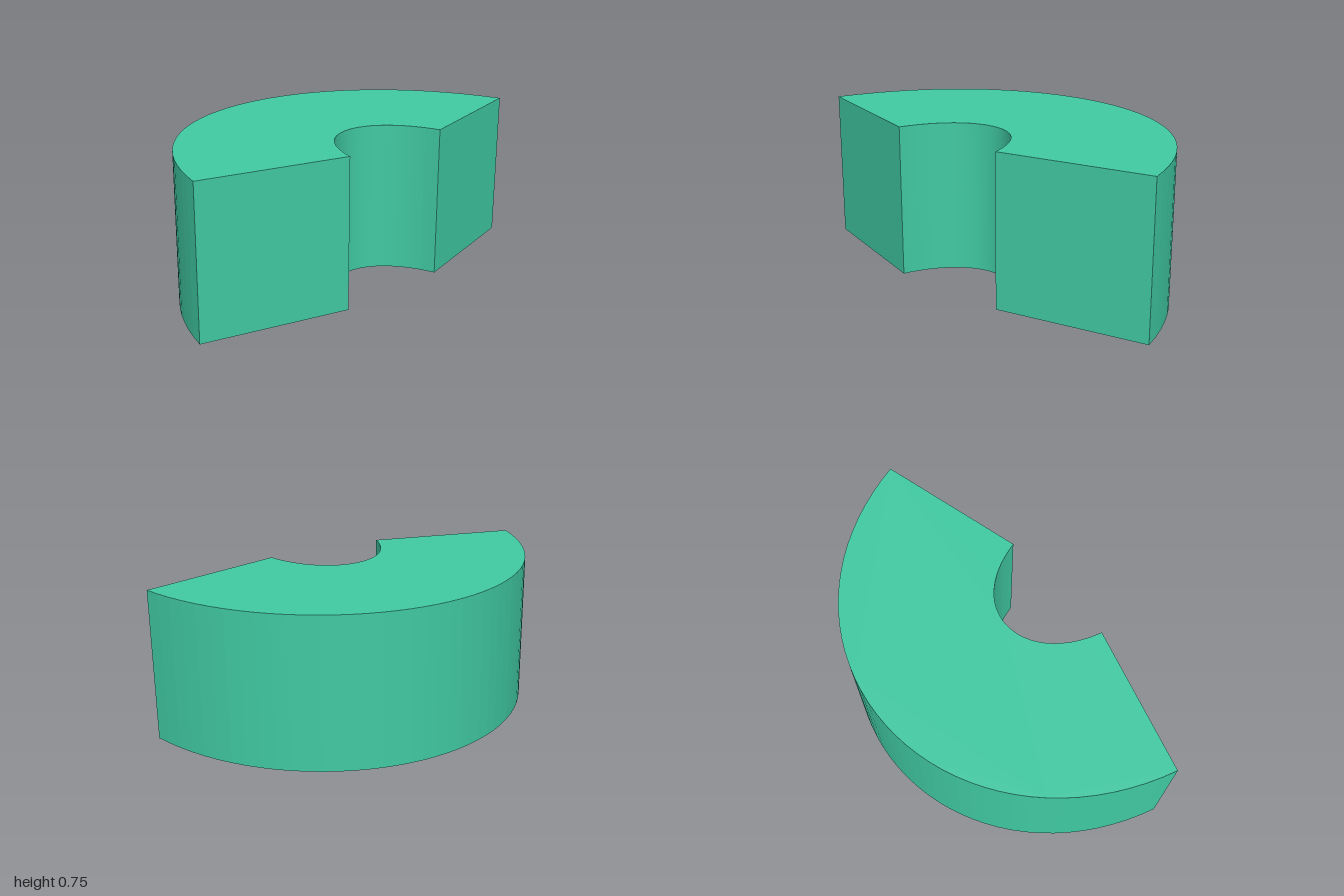
import * as THREE from 'three';

const HEIGHT = 0.755;
const HALF_WIDTH = 0.375;
const SEGMENTS = 40;

export function createModel() {
  const group = new THREE.Group();
  group.name = 'curvedBlock';

  // Centre line of the bend in plan (plan y is -z)
  const path = new THREE.CubicBezierCurve(
    new THREE.Vector2(0.57, 0.625),
    new THREE.Vector2(-0.25, 0.647),
    new THREE.Vector2(-0.492, -0.25),
    new THREE.Vector2(0.197, -0.675)
  );

  // Offset the centre line to both sides for the inner and outer walls
  const inner = [];
  const outer = [];
  for (let i = 0; i <= SEGMENTS; i++) {
    const t = i / SEGMENTS;
    const p = path.getPoint(t);
    const d = path.getTangent(t);
    const normal = new THREE.Vector2(-d.y, d.x);
    inner.push(p.clone().addScaledVector(normal, HALF_WIDTH));
    outer.push(p.clone().addScaledVector(normal, -HALF_WIDTH));
  }

  // Straight end cuts close the outline
  const shape = new THREE.Shape([...outer, ...inner.reverse()]);
  const geometry = new THREE.ExtrudeGeometry(shape, { depth: HEIGHT, bevelEnabled: false });
  geometry.rotateX(-Math.PI / 2);

  const block = new THREE.Mesh(geometry, new THREE.MeshStandardMaterial({ color: 0x40c9a2 }));
  block.name = 'bentWall';
  group.add(block);
  return group;
}
